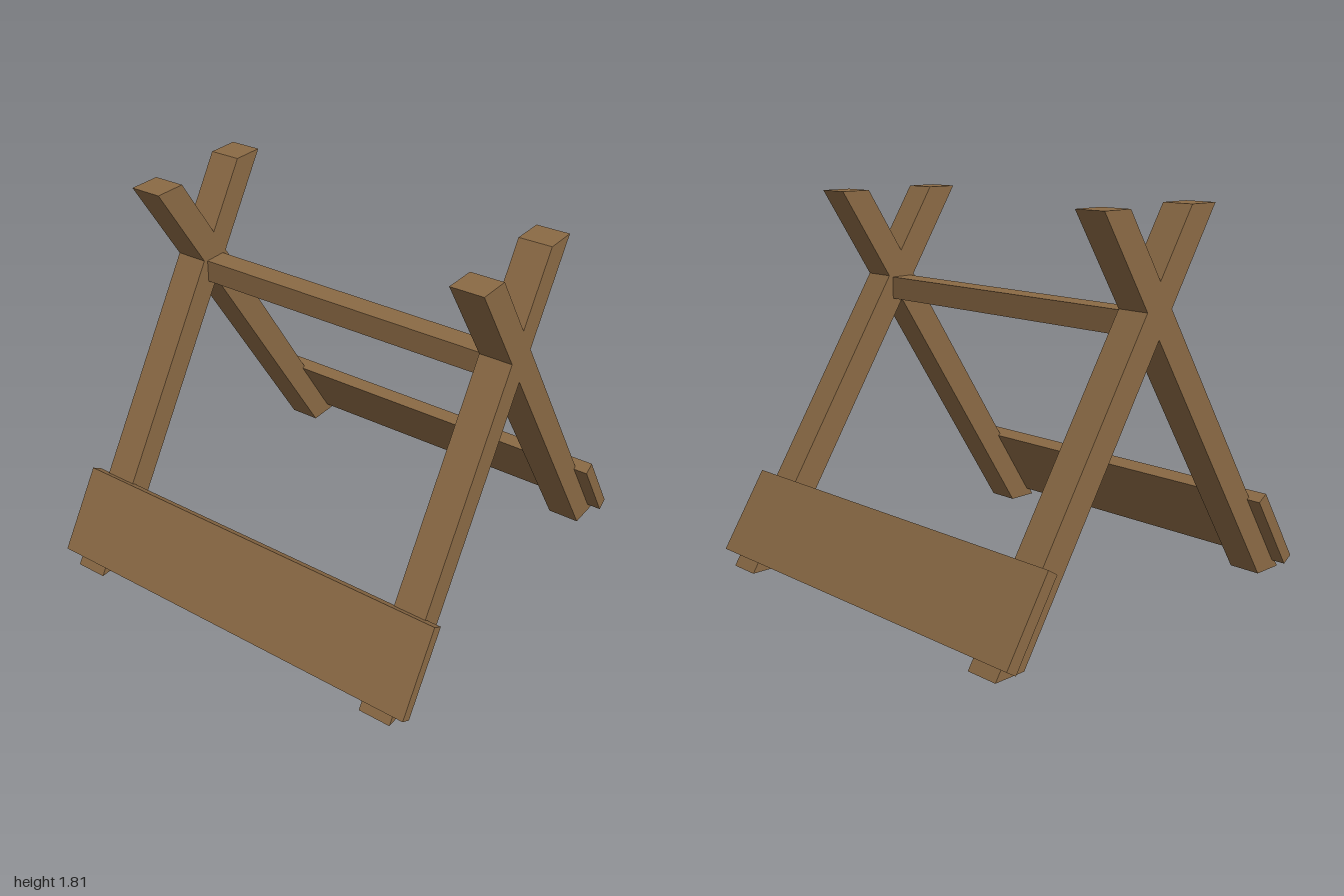
import * as THREE from 'three';

// Sawhorse: two X-shaped end frames, a crossbar and two low boards
export function createModel() {
  const model = new THREE.Group();
  model.name = 'sawhorse';
  const wood = new THREE.MeshStandardMaterial({ color: 0x8b6a45, flatShading: true });

  const add = (geometry, name, x = 0, y = 0, z = 0) => {
    const mesh = new THREE.Mesh(geometry, wood);
    mesh.name = name;
    mesh.position.set(x, y, z);
    model.add(mesh);
    return mesh;
  };

  const height = 1.81;
  const legWidth = 0.16;
  const lean = Math.atan2(1.16, height);

  // Slanted leg, cut level at top and foot; dir is the side its foot stands on
  const legGeometry = (dir) => {
    const points = [[0.96, 0], [-0.2, height], [-0.36, height], [0.8, 0]]
      .map(([z, y]) => new THREE.Vector2(-dir * z, y));
    return new THREE.ExtrudeGeometry(new THREE.Shape(points), { depth: legWidth, bevelEnabled: false })
      .translate(0, 0, -legWidth / 2)
      .rotateY(Math.PI / 2);
  };

  for (const dir of [1, -1]) {
    const end = dir > 0 ? 'front' : 'back';
    const leg = legGeometry(dir);
    for (const side of [1, -1]) {
      add(leg, `${end}${side > 0 ? 'Left' : 'Right'}Leg`, side * 0.85);
    }
    // Wide board let slightly into the lower legs
    const board = add(new THREE.BoxGeometry(2, 0.427, 0.06), `${end}Board`, 0, 0.235, dir * 0.826);
    board.rotation.x = -dir * lean;
  }

  // Bar joining the two crossings
  add(new THREE.BoxGeometry(1.56, 0.11, 0.115), 'crossbar', 0, 1.31, 0);

  return model;
}
